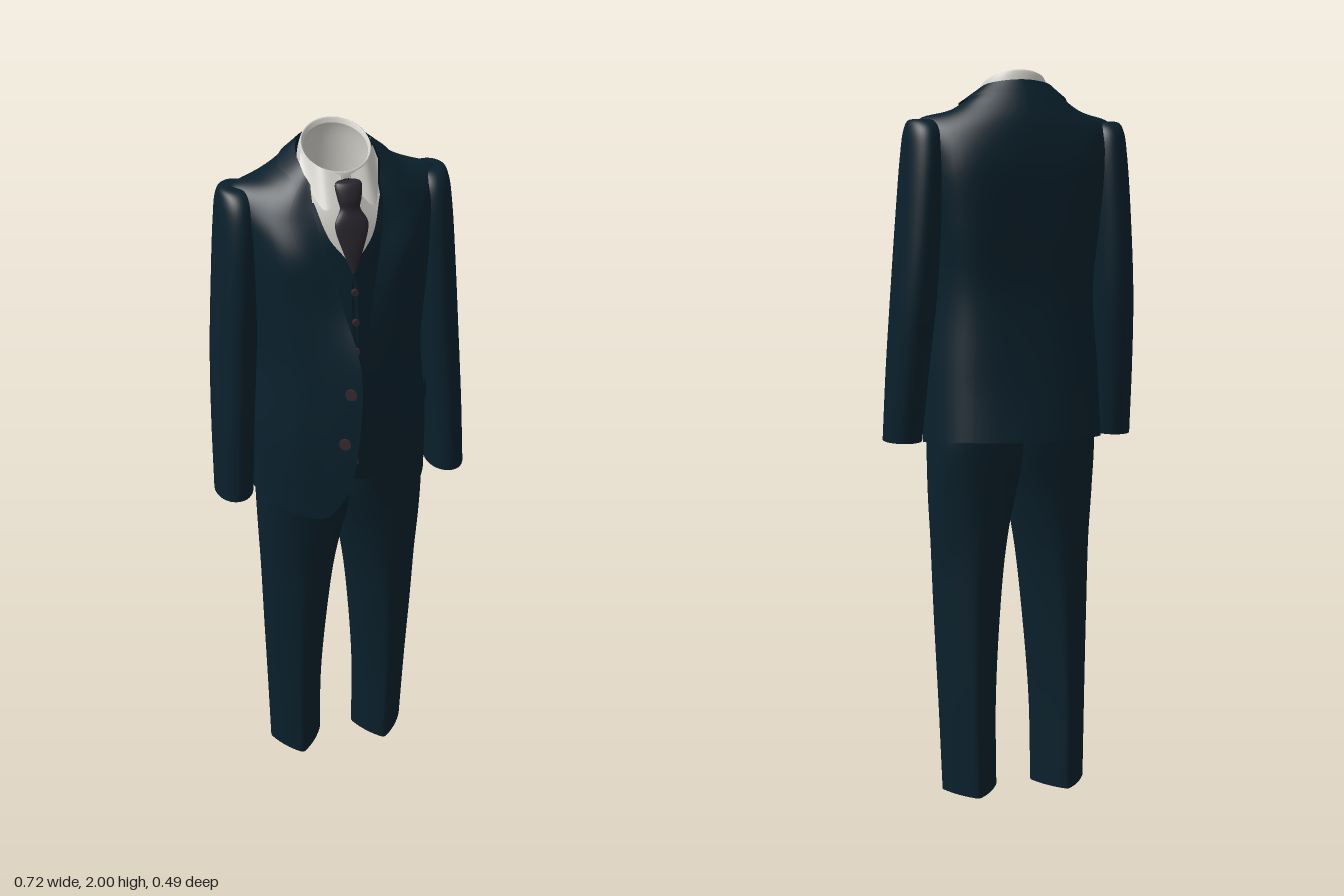
import * as THREE from 'three';
import { mergeVertices } from 'three/addons/utils/BufferGeometryUtils.js';

const mat = (name, color) => {
  const m = new THREE.MeshStandardMaterial({ color, side: THREE.DoubleSide });
  m.name = name;
  return m;
};

// Smooth surface through rows of points (bottom to top); u runs along a row, v across rows
function surface(rows, closed = false) {
  const curves = rows.map(r => new THREE.CatmullRomCurve3(r.map(p => new THREE.Vector3(...p)), closed));
  const cache = new Map();
  return (u, v) => {
    if (!cache.has(u)) cache.set(u, new THREE.CatmullRomCurve3(curves.map(c => c.getPoint(u))));
    return cache.get(u).getPoint(v);
  };
}

// Mesh of part of a surface, optionally lifted along its normal; u limits may depend on v
function patch(name, material, surf, { u = [() => 0, () => 1], v = [0, 1], nu = 40, nv = 30, lift = 0 } = {}) {
  const pos = [], idx = [], e = 0.004;
  for (let j = 0; j <= nv; j++) {
    const b = v[0] + (v[1] - v[0]) * j / nv, u0 = u[0](b), u1 = u[1](b);
    for (let i = 0; i <= nu; i++) {
      const a = u0 + (u1 - u0) * i / nu;
      const p = surf(a, b);
      if (lift) {
        const du = surf(Math.min(1, a + e), b).sub(surf(Math.max(0, a - e), b));
        const dv = surf(a, Math.min(1, b + e)).sub(surf(a, Math.max(0, b - e)));
        p.addScaledVector(du.cross(dv).normalize(), lift);
      }
      pos.push(p.x, p.y, p.z);
      if (i < nu && j < nv) {
        const k = j * (nu + 1) + i, t = k + nu + 1;
        idx.push(k, k + 1, t + 1, k, t + 1, t);
      }
    }
  }
  let geo = new THREE.BufferGeometry();
  geo.setAttribute('position', new THREE.Float32BufferAttribute(pos, 3));
  geo.setIndex(idx);
  geo = mergeVertices(geo, 1e-5);
  geo.computeVertexNormals();
  const mesh = new THREE.Mesh(geo, material);
  mesh.name = name;
  return mesh;
}

// Horizontal ring between x0..x1 and z0..z1; power below 1 is boxy, above 1 nears a diamond
function ring(y, x0, x1, z0, z1, power = 1) {
  const pts = [], pw = s => Math.sign(s) * Math.abs(s) ** power;
  for (let i = 0; i < 16; i++) {
    const a = i / 16 * Math.PI * 2;
    pts.push([(x0 + x1) / 2 + (x1 - x0) / 2 * pw(Math.sin(a)), y, (z0 + z1) / 2 + (z1 - z0) / 2 * pw(Math.cos(a))]);
  }
  return pts;
}

const flip = p => [-p[0], p[1], p[2]];
// Half row from the front edge to the centre back, completed on the other side
const roundBack = r => [...r, ...r.slice(0, -1).reverse().map(flip)];
const range = (a, b) => [() => a, () => b];

export function createModel() {
  const model = new THREE.Group();
  model.name = 'suit';
  const cloth = mat('navy cloth', 0x0a202c), shirt = mat('white shirt', 0xd3d1cb);
  const tieCloth = mat('dark tie', 0x29252d), horn = mat('brown button', 0x3a2b2c);
  const add = mesh => (model.add(mesh), mesh);
  const both = mesh => {
    const other = mesh.clone();
    other.scale.x = -1;
    mesh.name = 'left ' + mesh.name;
    other.name = 'right ' + other.name;
    model.add(mesh, other);
  };

  // Jacket body, from the cutaway hem over the shoulders to the neck
  const jacket = surface([
    [[.03, 1.09, .23], [.09, .985, .188], [.17, .98, .13], [.25, 1, -.02], [.19, 1.02, -.19], [0, 1.02, -.243]],
    [[.014, 1.22, .243], [.09, 1.2, .197], [.18, 1.2, .132], [.245, 1.2, -.02], [.18, 1.2, -.175], [0, 1.2, -.213]],
    [[.006, 1.46, .238], [.09, 1.42, .187], [.17, 1.42, .122], [.228, 1.42, -.03], [.17, 1.42, -.165], [0, 1.42, -.193]],
    [[.035, 1.6, .18], [.105, 1.6, .158], [.18, 1.6, .112], [.245, 1.6, -.04], [.18, 1.6, -.18], [0, 1.6, -.2]],
    [[.068, 1.74, .133], [.13, 1.74, .13], [.19, 1.74, .095], [.26, 1.74, -.05], [.2, 1.75, -.175], [0, 1.76, -.203]],
    [[.088, 1.83, .092], [.148, 1.825, .08], [.2, 1.835, .04], [.275, 1.865, -.06], [.2, 1.84, -.15], [0, 1.87, -.188]],
    [[.09, 1.87, .068], [.128, 1.877, .055], [.15, 1.893, .02], [.175, 1.9, -.05], [.13, 1.915, -.125], [0, 1.925, -.165]],
    [[.088, 1.9, .048], [.098, 1.918, .03], [.102, 1.935, 0], [.101, 1.948, -.05], [.08, 1.965, -.105], [0, 1.975, -.135]],
  ].map(roundBack));
  add(patch('jacket body', cloth, jacket, { nu: 90, nv: 64 }));

  // Lapels, collar, pockets and back vents follow the jacket surface
  const lapelWidth = v => .1 * Math.sin(Math.min(1, (v - .286) / .25) * Math.PI / 2);
  both(patch('lapel', cloth, jacket, { u: [() => 0, lapelWidth], v: [.287, 1], nu: 10, nv: 40, lift: .005 }));
  add(patch('jacket collar', cloth, jacket, { u: range(.1, .9), v: [.91, 1], nu: 60, nv: 6, lift: .005 }));
  both(patch('pocket flap', cloth, jacket, { u: range(.19, .27), v: [.175, .205], nu: 10, nv: 3, lift: .006 }));
  add(patch('breast pocket', cloth, jacket, { u: range(.14, .2), v: [.43, .45], nu: 8, nv: 2, lift: .004 }));
  both(patch('back vent', cloth, jacket, { u: range(.42, .44), v: [0, .18], nu: 3, nv: 10, lift: .003 }));

  // Sleeves
  const sleeve = surface([
    ring(1.005, .252, .358, -.075, .08), ring(1.2, .238, .352, -.115, .07),
    ring(1.4, .222, .342, -.152, .06), ring(1.6, .21, .328, -.166, .055),
    ring(1.78, .2, .314, -.16, .038), ring(1.845, .205, .306, -.142, .015),
    ring(1.87, .22, .295, -.11, -.015), ring(1.874, .256, .258, -.063, -.061),
  ], true);
  both(patch('sleeve', cloth, sleeve, { nu: 40, nv: 44 }));

  // Trouser legs, pressed to a crease front and back
  const leg = surface([
    ring(.005, .052, .21, -.155, .052, 1.55), ring(.25, .05, .217, -.15, .07, 1.5),
    ring(.5, .034, .225, -.143, .09, 1.35), ring(.7, .014, .23, -.143, .105, 1.2),
    ring(.86, -.012, .234, -.152, .117, .95), ring(1, -.045, .232, -.165, .125, .75),
    ring(1.12, -.05, .222, -.165, .13, .75),
  ], true);
  both(patch('trouser leg', cloth, leg, { nu: 48, nv: 40 }));

  // Waistcoat front with its V opening
  const vest = surface([
    [[0, 1.08, .16], [.08, 1.06, .14], [.15, 1.06, .09]],
    [[0, 1.4, .168], [.08, 1.4, .15], [.15, 1.4, .1]],
    [[0, 1.69, .138], [.07, 1.69, .118], [.14, 1.69, .08]],
    [[.058, 1.78, .11], [.09, 1.78, .098], [.14, 1.78, .06]],
    [[.085, 1.86, .07], [.1, 1.86, .06], [.13, 1.86, .035]],
  ]);
  both(patch('waistcoat', cloth, vest, { nu: 12, nv: 30 }));

  // Shirt front, collar band and collar points
  const bib = surface([
    [[-.09, 1.66, .09], [0, 1.66, .115], [.09, 1.66, .09]],
    [[-.095, 1.8, .07], [0, 1.8, .092], [.095, 1.8, .07]],
    [[-.09, 1.91, .01], [0, 1.91, .055], [.09, 1.91, .01]],
  ]);
  add(patch('shirt front', shirt, bib, { nu: 16, nv: 14 }));
  const tilt = (pts, s) => pts.map(([x, y, z]) => [x, y - (z + .04) * s, z]);
  const band = surface([
    tilt(ring(1.8, -.1, .1, -.135, .052), .1), tilt(ring(1.88, -.1, .1, -.135, .052), .3),
    tilt(ring(1.935, -.097, .097, -.132, .05), .43), tilt(ring(1.965, -.088, .088, -.122, .045), .48),
    tilt(ring(1.955, -.082, .082, -.115, .038), .48),
  ], true);
  add(patch('shirt collar', shirt, band, { nu: 48, nv: 18 }));
  const point = surface([
    [[.02, 1.89, .078], [.062, 1.85, .1], [.102, 1.925, -.005]],
    [[.012, 1.92, .058], [.058, 1.938, .04], [.094, 1.955, -.03]],
  ]);
  both(patch('collar point', shirt, point, { nu: 14, nv: 6 }));

  // Tie with knot and pointed blade
  const tie = surface([
    [1.69, .004, .14, .003], [1.75, .027, .13, .008], [1.815, .043, .115, .01],
    [1.85, .026, .1, .012], [1.875, .031, .094, .017], [1.91, .033, .08, .015], [1.915, .01, .072, .005],
  ].map(([y, w, z, t]) => ring(y, -w, w, z - t, z + t)), true);
  add(patch('tie', tieCloth, tie, { nu: 24, nv: 30 }));

  // Buttons
  const button = (name, x, y, z, r, yaw = 0) => {
    const m = add(new THREE.Mesh(new THREE.CylinderGeometry(r, r, .009, 16), horn));
    m.name = name;
    m.position.set(x, y, z);
    m.rotation.set(Math.PI / 2, yaw, 0, 'YXZ');
  };
  for (const [x, y, z] of [[-.03, 1.39, .229], [-.045, 1.24, .226]]) button('jacket button', x, y, z, .016, -.5);
  for (const [y, z] of [[1.64, .149], [1.56, .16], [1.48, .168], [1.14, .165]]) button('waistcoat button', 0, y, z, .009);
  for (const s of [-1, 1])
    for (let i = 0; i < 4; i++) button('cuff button', s * (.335 - i * .001), 1.08 + i * .022, -.058 - i * .004, .008, s * 2.2);

  return model;
}
